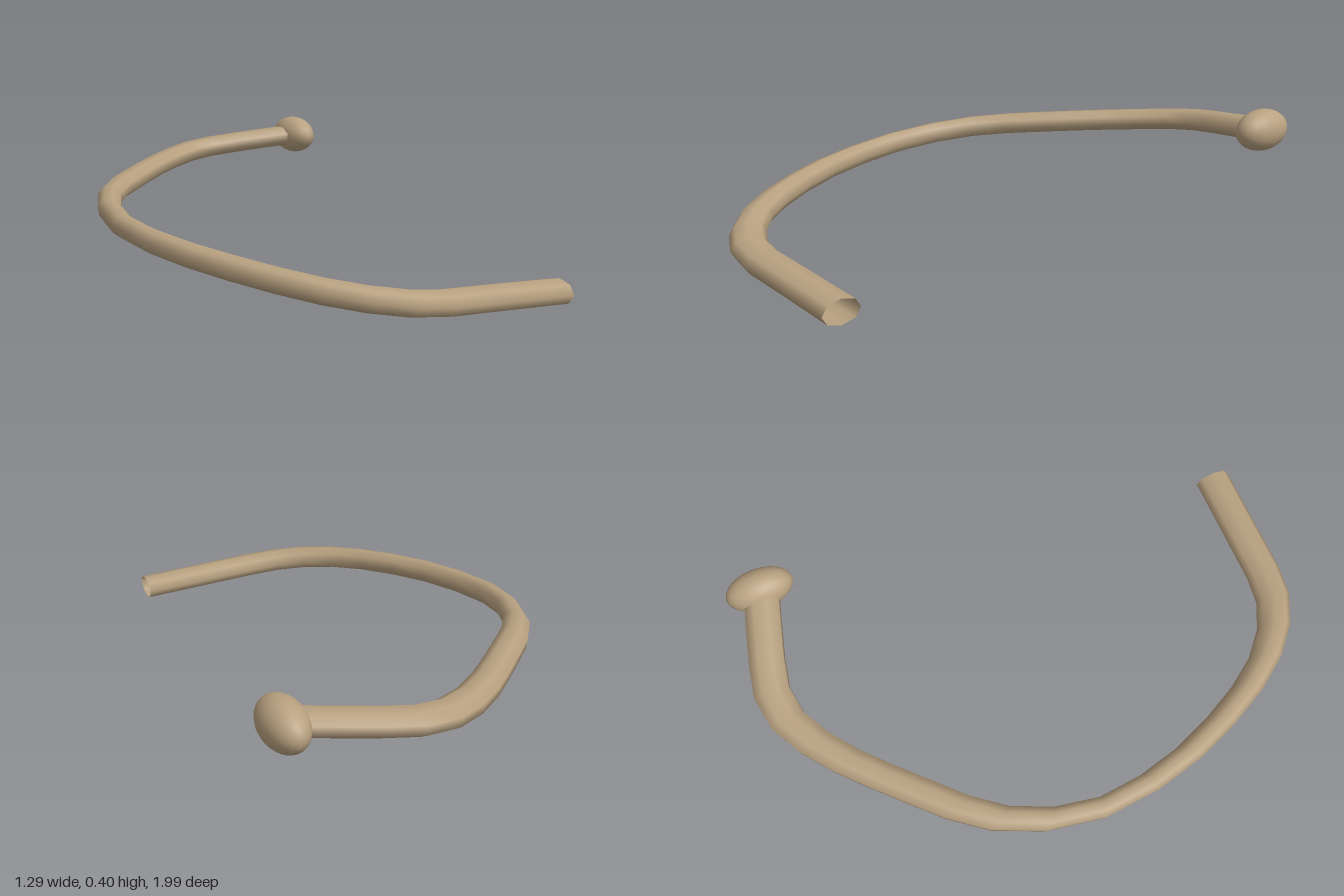
import * as THREE from 'three';

export function createModel() {
  const model = new THREE.Group();
  model.name = 'curvedRod';
  const material = new THREE.MeshStandardMaterial({ color: 0xb8a180, side: THREE.DoubleSide });

  // The whole shape is a round rod stretched along z
  const stretch = new THREE.Vector3(1, 1.07, 1.72);

  // Centre line from the open end to the knob, in final units
  const path = new THREE.CatmullRomCurve3([
    [0.45, 0.042, 0.93], [0.15, 0.06, 0.922], [-0.01, 0.069, 0.918],
    [-0.13, 0.081, 0.895], [-0.235, 0.096, 0.835], [-0.345, 0.115, 0.725],
    [-0.45, 0.137, 0.55], [-0.54, 0.158, 0.34], [-0.59, 0.175, 0.14],
    [-0.605, 0.192, -0.05], [-0.565, 0.213, -0.25], [-0.485, 0.228, -0.41],
    [-0.28, 0.246, -0.63], [-0.1, 0.259, -0.8], [0, 0.267, -0.872],
    [0.12, 0.28, -0.928], [0.22, 0.29, -0.931], [0.35, 0.304, -0.9],
    [0.53, 0.323, -0.85],
  ].map((p) => new THREE.Vector3(...p).divide(stretch)));

  // Open tube
  const rod = new THREE.Mesh(new THREE.TubeGeometry(path, 24, 0.0388, 8, false), material);
  rod.name = 'rod';
  rod.scale.copy(stretch);

  // Knob at the upper end
  const knob = new THREE.Mesh(new THREE.SphereGeometry(0.0715, 20, 14), material);
  knob.name = 'knob';
  knob.position.set(0.57, 0.325, -0.845);
  knob.scale.copy(stretch);

  model.add(rod, knob);
  return model;
}
